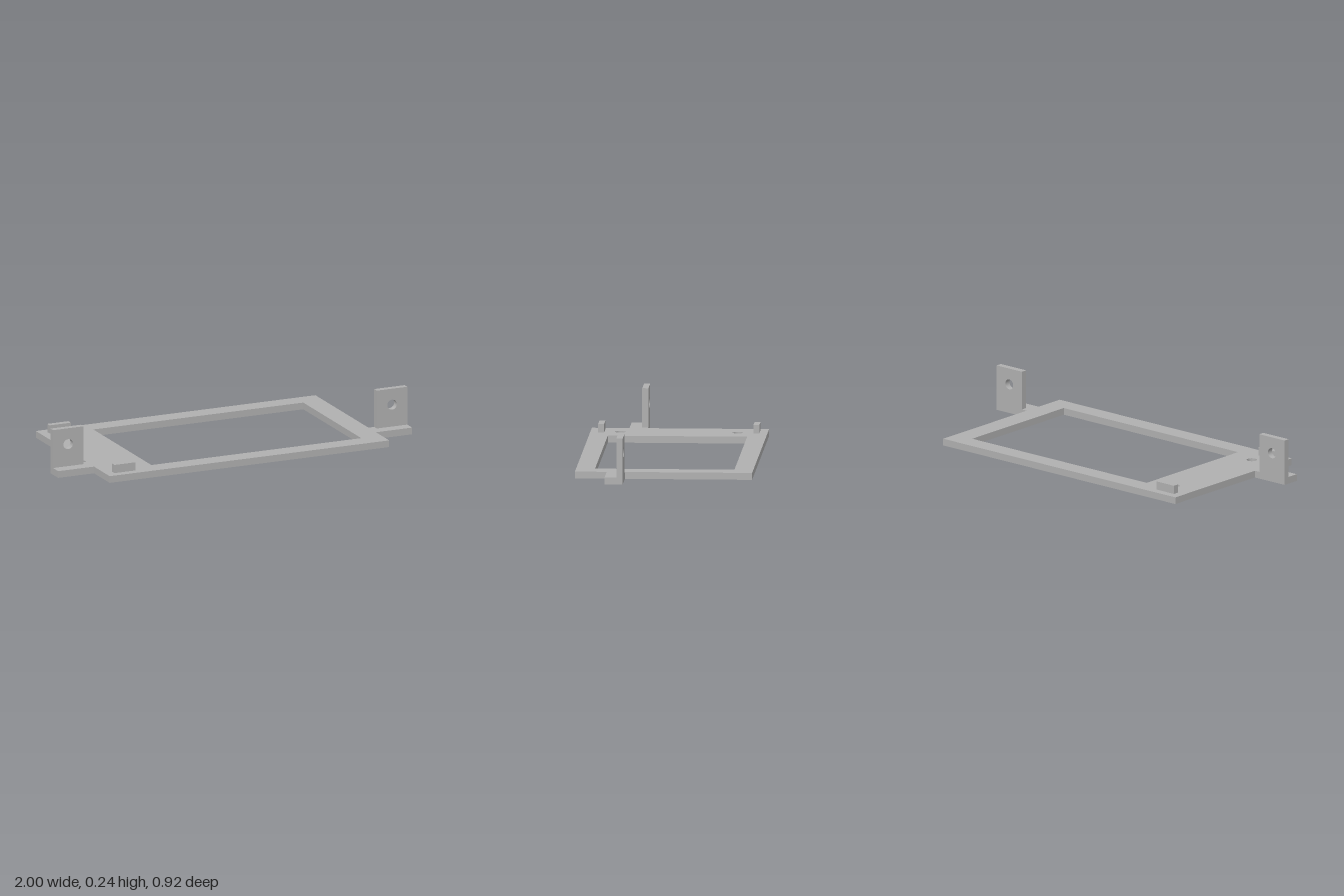
import * as THREE from 'three';

const T = 0.036; // plate thickness

function circleHole(x, y, r) {
  const p = new THREE.Path();
  p.absarc(x, y, r, 0, Math.PI * 2, true);
  return p;
}

function polygon(points) {
  return points.map(([x, y]) => new THREE.Vector2(x, y));
}

function extrude(shape, depth) {
  return new THREE.ExtrudeGeometry(shape, { depth, bevelEnabled: false, curveSegments: 20 });
}

export function createModel() {
  const model = new THREE.Group();
  model.name = 'mountingFrame';
  const grey = new THREE.MeshStandardMaterial({ color: 0xb0b0b0 });
  grey.name = 'grey';

  const add = (name, geometry, x = 0, y = 0, z = 0) => {
    const mesh = new THREE.Mesh(geometry, grey);
    mesh.name = name;
    mesh.position.set(x, y, z);
    model.add(mesh);
  };

  // Base plate with its two side tabs, drawn in (x, -z)
  const outline = new THREE.Shape(polygon([
    [-0.796, -0.459], [0.794, -0.459],
    [0.794, -0.294], [1, -0.294], [1, -0.2], [0.794, -0.2],
    [0.794, 0.459], [-0.796, 0.459],
    [-0.796, -0.168], [-1, -0.168], [-1, -0.264], [-0.796, -0.264],
  ]));
  // Large rectangular opening
  outline.holes.push(new THREE.Path(polygon([
    [-0.514, -0.361], [-0.514, 0.361], [0.68, 0.361], [0.68, -0.361],
  ])));
  // Two screw holes in the wide end
  for (const s of [-1, 1]) outline.holes.push(circleHole(-0.656, s * 0.305, 0.027));
  add('basePlate', extrude(outline, T).rotateX(-Math.PI / 2));

  // Upright ears with a screw hole, standing on the tabs
  const earWidth = 0.173, earHeight = 0.24 - T;
  const ears = [['rightEar', -1, 0.168, 0.032], ['leftEar', 1 - earWidth, 0.2, 0.033]];
  for (const [name, x, z, depth] of ears) {
    const ear = new THREE.Shape(polygon([
      [0, 0], [earWidth, 0], [earWidth, earHeight], [0, earHeight],
    ]));
    ear.holes.push(circleHole(earWidth / 2, 0.154 - T, 0.027));
    add(name, extrude(ear, depth), x, T, z);
  }

  // Small locating blocks near the corners of the wide end
  for (const [name, s] of [['frontBlock', 1], ['backBlock', -1]]) {
    add(name, new THREE.BoxGeometry(0.12, 0.08 - T, 0.031), -0.69, (0.08 + T) / 2, s * 0.402);
  }

  return model;
}
